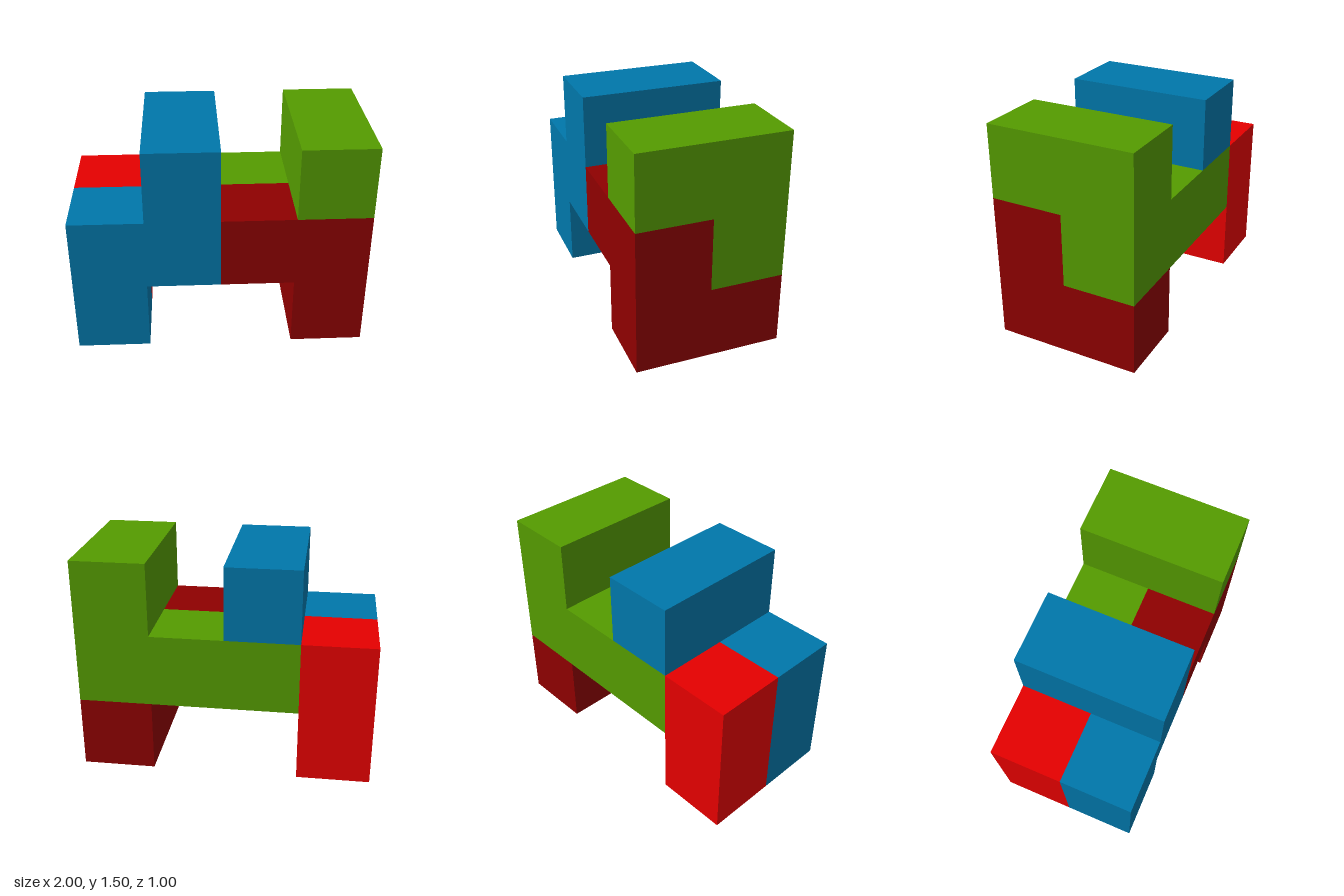
import * as THREE from 'three';

const U = 0.5; // edge of one cube unit

const paint = (name, color) => {
  const m = new THREE.MeshStandardMaterial({ color });
  m.name = name;
  return m;
};

// Extrudes an outline given in cube units from z0 to z1 (also in units).
function block(name, material, outline, z0, z1) {
  const shape = new THREE.Shape(outline.map(([x, y]) => new THREE.Vector2(x * U, y * U)));
  const geometry = new THREE.ExtrudeGeometry(shape, { depth: (z1 - z0) * U, bevelEnabled: false });
  geometry.translate(0, 0, z0 * U);
  const mesh = new THREE.Mesh(geometry, material);
  mesh.name = name;
  return mesh;
}

const rect = (x0, y0, x1, y1) => [[x0, y0], [x1, y0], [x1, y1], [x0, y1]];

function piece(name, ...blocks) {
  const group = new THREE.Group();
  group.name = name;
  group.add(...blocks);
  return group;
}

export function createModel() {
  const blue = paint('blue', 0x0077aa);
  const green = paint('green', 0x559b00);
  const red = paint('red', 0xe50000);
  const darkRed = paint('dark red', 0x8e0000);

  const model = new THREE.Group();
  model.name = 'interlockingCubePuzzle';
  model.add(
    // Stepped front piece with an arm reaching back over the top
    piece('bluePiece',
      block('blueStep', blue,
        [[-2, 0], [-1, 0], [-1, 1], [0, 1], [0, 3], [-1, 3], [-1, 2], [-2, 2]], 0, 1),
      block('blueTopArm', blue, rect(-1, 2, 0, 3), -1, 0)),
    // Back L with an arm reaching forward at the top
    piece('greenPiece',
      block('greenBackL', green,
        [[-1, 1], [2, 1], [2, 3], [1, 3], [1, 2], [-1, 2]], -1, 0),
      block('greenTopArm', green, rect(1, 2, 2, 3), 0, 1)),
    // Front corner with a foot reaching back
    piece('darkRedPiece',
      block('darkRedCorner', darkRed,
        [[1, 0], [2, 0], [2, 2], [0, 2], [0, 1], [1, 1]], 0, 1),
      block('darkRedFoot', darkRed, rect(1, 0, 2, 1), -1, 0)),
    // Upright post at the back
    piece('redPiece', block('redPost', red, rect(-2, 0, -1, 2), -1, 0)),
  );
  return model;
}
